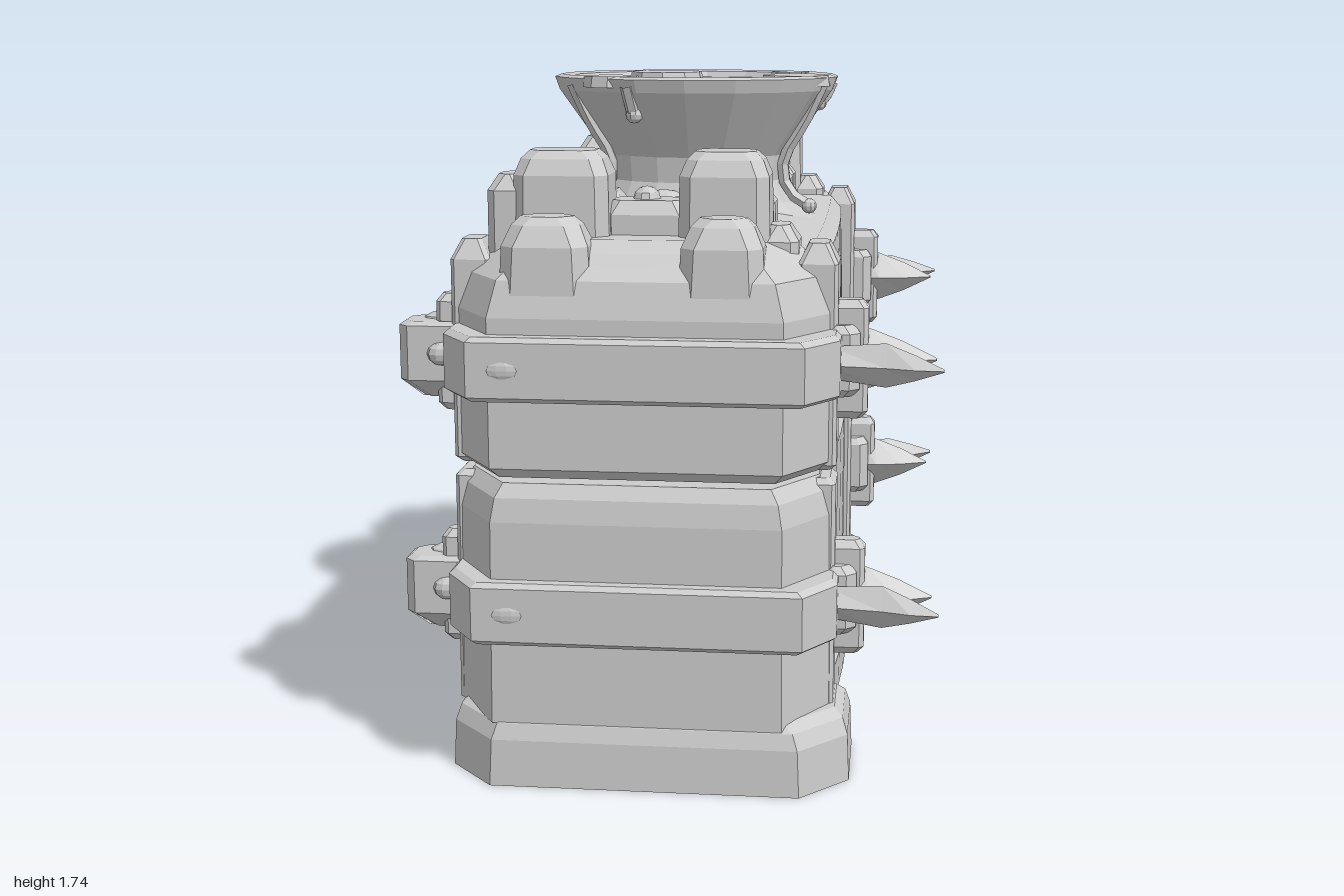
import * as THREE from 'three';

const stone = new THREE.MeshStandardMaterial({ color: 0xcccccc, flatShading: true });
stone.name = 'paleStone';
const CX = -0.065; // middle of the body, which sits off-centre

export function createModel() {
  const model = new THREE.Group();
  model.name = 'stoneMonument';

  function add(name, geometry, x = 0, y = 0, z = 0) {
    const m = new THREE.Mesh(geometry, stone);
    m.name = name;
    m.position.set(x, y, z);
    model.add(m);
    return m;
  }

  // Skin over cross-sections, each counter-clockwise seen from the last one's side
  function loft(rings) {
    const n = rings[0].length, idx = [];
    for (let r = 0; r < rings.length - 1; r++) {
      for (let i = 0; i < n; i++) {
        const a = r * n + i, b = r * n + (i + 1) % n;
        idx.push(a, b, b + n, a, b + n, a + n);
      }
    }
    const top = (rings.length - 1) * n;
    for (let i = 1; i < n - 1; i++) idx.push(0, i + 1, i, top, top + i, top + i + 1);
    const g = new THREE.BufferGeometry();
    g.setAttribute('position', new THREE.Float32BufferAttribute(rings.flat(2), 3));
    g.setIndex(idx);
    const flat = g.toNonIndexed();
    flat.computeVertexNormals();
    return flat;
  }

  // Eight-cornered block; levels are [y, inset], chamfers [x, z] for the -z and +z ends
  function block(name, x0, x1, za, zb, levels, back = [0.02, 0.02], front = back) {
    const z0 = Math.min(za, zb), z1 = Math.max(za, zb);
    return add(name, loft(levels.map(([y, k]) => {
      const l = x0 + k, r = x1 - k, b = z0 + k, f = z1 - k;
      return [[r, y, f - front[1]], [r, y, b + back[1]], [r - back[0], y, b], [l + back[0], y, b],
        [l, y, b + back[1]], [l, y, f - front[1]], [l + front[0], y, f], [r - front[0], y, f]];
    })));
  }

  // Block at one end of the body: chamfered outside, square inside
  function endBlock(name, s, x0, x1, zIn, zOut, levels, chamfer) {
    const sq = [0.005, 0.005];
    return block(name, x0, x1, s * zIn, s * zOut, levels, s > 0 ? sq : chamfer, s > 0 ? chamfer : sq);
  }

  // Long core whose sides swell outwards; levels are [y, half width, swell, half length]
  function core(name, levels) {
    return add(name, loft(levels.map(([y, w, b, len]) => {
      const ring = [], N = 8;
      for (const side of [1, -1]) {
        for (let i = 0; i <= N; i++) {
          const t = side * (1 - 2 * i / N);
          ring.push([CX + side * (w + b * (1 - t * t)), y, len * t]);
        }
      }
      return ring;
    })));
  }

  function bolt(name, x, y, z, r, sx = 1, sy = 1, sz = 1) {
    add(name, new THREE.SphereGeometry(r, 10, 6), x, y, z).scale.set(sx, sy, sz);
  }

  // Thorn with a diamond section; spine is [x, y, z, half height, half depth]
  function thorn(name, spine) {
    add(name, loft(spine.map(([x, y, z, h, d]) =>
      [[x, y + h, z], [x, y, z + d], [x, y - h, z], [x, y, z - d]])));
  }

  // Body core, with a low mound on top
  core('basePlinth', [[0.03, 0.43, 0.03, 0.64], [0.06, 0.455, 0.04, 0.64], [0.16, 0.46, 0.035, 0.64], [0.18, 0.44, 0.03, 0.64]]);
  core('lowerBody', [[0.15, 0.445, 0.035, 0.7], [0.755, 0.445, 0.035, 0.7], [0.775, 0.43, 0.03, 0.7]]);
  core('seam', [[0.75, 0.41, 0.02, 0.7], [0.81, 0.41, 0.02, 0.7]]);
  core('upperBody', [[0.79, 0.43, 0.02, 0.7], [0.81, 0.45, 0.02, 0.7], [1.3, 0.44, 0.015, 0.7],
    [1.335, 0.41, 0.01, 0.68], [1.375, 0.25, 0, 0.3]]);

  for (const s of [1, -1]) {
    // Feet, end caps and corner pillars
    endBlock('foot', s, -0.555, 0.465, 0.595, 0.975, [[0, 0], [0.12, 0.005], [0.16, 0.018], [0.18, 0.04]], [0.12, 0.13]);
    endBlock('lowerCap', s, -0.54, 0.41, 0.64, 0.955, [[0.16, 0], [0.68, 0.004], [0.74, 0.014], [0.775, 0.033]], [0.11, 0.17]);
    endBlock('upperCap', s, -0.54, 0.41, 0.64, 0.95, [[0.79, 0.025], [0.815, 0.004], [1.19, 0.004], [1.28, 0.026], [1.34, 0.08], [1.37, 0.125]], [0.11, 0.17]);
    for (const x of [-0.5, 0.37]) {
      block('lowerPillar', x - 0.05, x + 0.05, s * 0.64, s * 0.785, [[0.16, 0], [0.755, 0], [0.77, 0.015]], [0.01, 0.01]);
      block('upperPillar', x - 0.05, x + 0.05, s * 0.64, s * 0.785, [[0.79, 0.015], [0.805, 0], [1.31, 0], [1.36, 0.025]], [0.01, 0.01]);
    }

    // Bands with buckles, cross bars, bolts and thorns
    for (const y of [0.455, 1.07]) {
      endBlock('band', s, -0.55, 0.43, 0.68, 0.995,
        [[y - 0.08, 0.013], [y - 0.068, 0], [y + 0.068, 0], [y + 0.08, 0.013]], [0.08, 0.12]);
      block('buckle', -0.69, -0.5, s * 0.65, s * 0.785,
        [[y - 0.12, 0.05], [y - 0.07, 0], [y + 0.07, 0], [y + 0.08, 0.015]], [0.025, 0.025]);
      block('thornSocket', 0.38, 0.475, s * 0.65, s * 0.8,
        [[y - 0.09, 0.015], [y - 0.07, 0], [y + 0.07, 0], [y + 0.09, 0.015]], [0.025, 0.025]);
      for (const x of [-0.545, 0.445]) {
        block('crossBar', x - 0.05, x + 0.05, s * 0.695, s * 0.765,
          [[y - 0.15, 0.015], [y - 0.13, 0], [y + 0.13, 0], [y + 0.15, 0.015]], [0.012, 0.012]);
      }
      bolt('buckleBolt', -0.59, y + 0.07, s * 0.7, 0.04, 1.35, 0.7, 0.9);
      bolt('sideBolt', -0.575, y, s * 0.785, 0.04, 1, 0.75, 0.6);
      bolt('bandBolt', -0.38, y, s * 0.99, 0.045, 1, 0.55, 0.22);
      thorn('thorn', [[0.45, y, s * 0.73, 0.08, 0.05], [0.5, y, s * 0.73, 0.075, 0.055],
        [0.58, y, s * 0.73, 0.045, 0.04], [0.665, y, s * 0.73, 0.003, 0.003]]);
      thorn('hookedThorn', [[0.4, y, s * 0.8, 0.04, 0.045], [0.54, y, s * 0.825, 0.055, 0.04],
        [0.61, y, s * 0.853, 0.032, 0.033], [0.68, y, s * 0.883, 0.004, 0.008]]);
    }

    // Tall and low battlement stones
    const tall = [[1.28, 0], [1.52, 0.004], [1.56, 0.02], [1.58, 0.04]];
    const low = [[1.2, 0], [1.36, 0.008], [1.41, 0.03], [1.43, 0.05]];
    block('tallStone', -0.395, -0.15, s * 0.587, s * 0.785, tall, [0.03, 0.03]);
    block('tallStone', 0.02, 0.25, s * 0.587, s * 0.785, tall, [0.03, 0.03]);
    block('lowStone', -0.405, -0.175, s * 0.75, s * 0.935, low, [0.035, 0.035]);
    block('lowStone', 0.035, 0.25, s * 0.75, s * 0.935, low, [0.035, 0.035]);
    block('shoulderStone', -0.46, -0.36, s * 0.61, s * 0.76, [[1.28, 0], [1.48, 0], [1.52, 0.025]]);
    block('shoulderStone', 0.22, 0.32, s * 0.61, s * 0.76, [[1.28, 0], [1.36, 0], [1.4, 0.025]]);
    block('lintel', -0.17, 0.04, s * 0.59, s * 0.73, [[1.3, 0], [1.42, 0], [1.455, 0.02]]);
    bolt('lintelBolt', -0.07, 1.455, s * 0.65, 0.035, 1, 0.9, 1);

    // Paving stones leading to the pedestal
    const paver = [[1.3, 0], [1.42, 0.003], [1.45, 0.025]];
    for (const [x0, x1] of [[-0.37, -0.165], [0.04, 0.24]]) {
      block('outerPaver', x0, x1, s * 0.43, s * 0.58, paver, [0.025, 0.025]);
      block('innerPaver', x0 + 0.02, x1, s * 0.27, s * 0.425, paver, [0.025, 0.025]);
      bolt('paverBolt', (x0 + x1) / 2, 1.45, s * 0.51, 0.03, 1, 0.5, 1);
      bolt('paverBolt', (x0 + x1) / 2, 1.45, s * 0.39, 0.03, 1, 0.5, 1);
    }
    block('middlePaver', -0.18, 0.05, s * 0.27, s * 0.49, [[1.3, 0], [1.4, 0], [1.425, 0.025]], [0.05, 0.04]);
    bolt('middleBolt', -0.06, 1.42, s * 0.39, 0.065, 1, 0.5, 0.85);
    block('middleLink', -0.13, 0.0, s * 0.47, s * 0.62, [[1.3, 0], [1.38, 0], [1.4, 0.02]]);
  }

  // Oval flared pedestal with a shallow dished top
  const profile = [[0.285, 1.33], [0.235, 1.39], [0.207, 1.45], [0.212, 1.52], [0.315, 1.7], [0.325, 1.735],
    [0.31, 1.742], [0.28, 1.738], [0.272, 1.722], [0, 1.718]].map(([r, y]) => new THREE.Vector2(r, y));
  add('pedestal', new THREE.LatheGeometry(profile, 18), -0.015, 0, -0.015).scale.x = 1.24;
  for (const [x, z, r] of [[-0.12, -0.17, 0.11], [0.27, 0.06, 0.1], [-0.23, 0.18, 0.08], [0.24, -0.19, 0.06]]) {
    add('topPatch', new THREE.CylinderGeometry(r * 0.94, r, 0.03, 10), x, 1.727, z);
  }

  // Drips running down from the rim
  for (const [angle, end, r] of [[0.35, 1.38, 0.018], [-0.5, 1.64, 0.022], [2.0, 1.64, 0.02], [2.6, 1.4, 0.018],
    [-1.9, 1.66, 0.025], [-0.1, 1.66, 0.018], [3.6, 1.64, 0.02]]) {
    const at = (rad, y) => new THREE.Vector3(-0.015 + Math.cos(angle) * rad * 1.24, y, -0.015 + Math.sin(angle) * rad);
    const path = end > 1.5 ? [at(0.31, 1.72), at(0.295, 1.68), at(0.28, end)]
      : [at(0.31, 1.72), at(0.27, 1.62), at(0.215, 1.5), at(0.23, 1.42), at(0.28, end)];
    add('drip', new THREE.TubeGeometry(new THREE.CatmullRomCurve3(path), 8, r, 6));
    const tip = path[path.length - 1];
    bolt('dripEnd', tip.x, tip.y, tip.z, r * 1.2);
  }
  return model;
}
